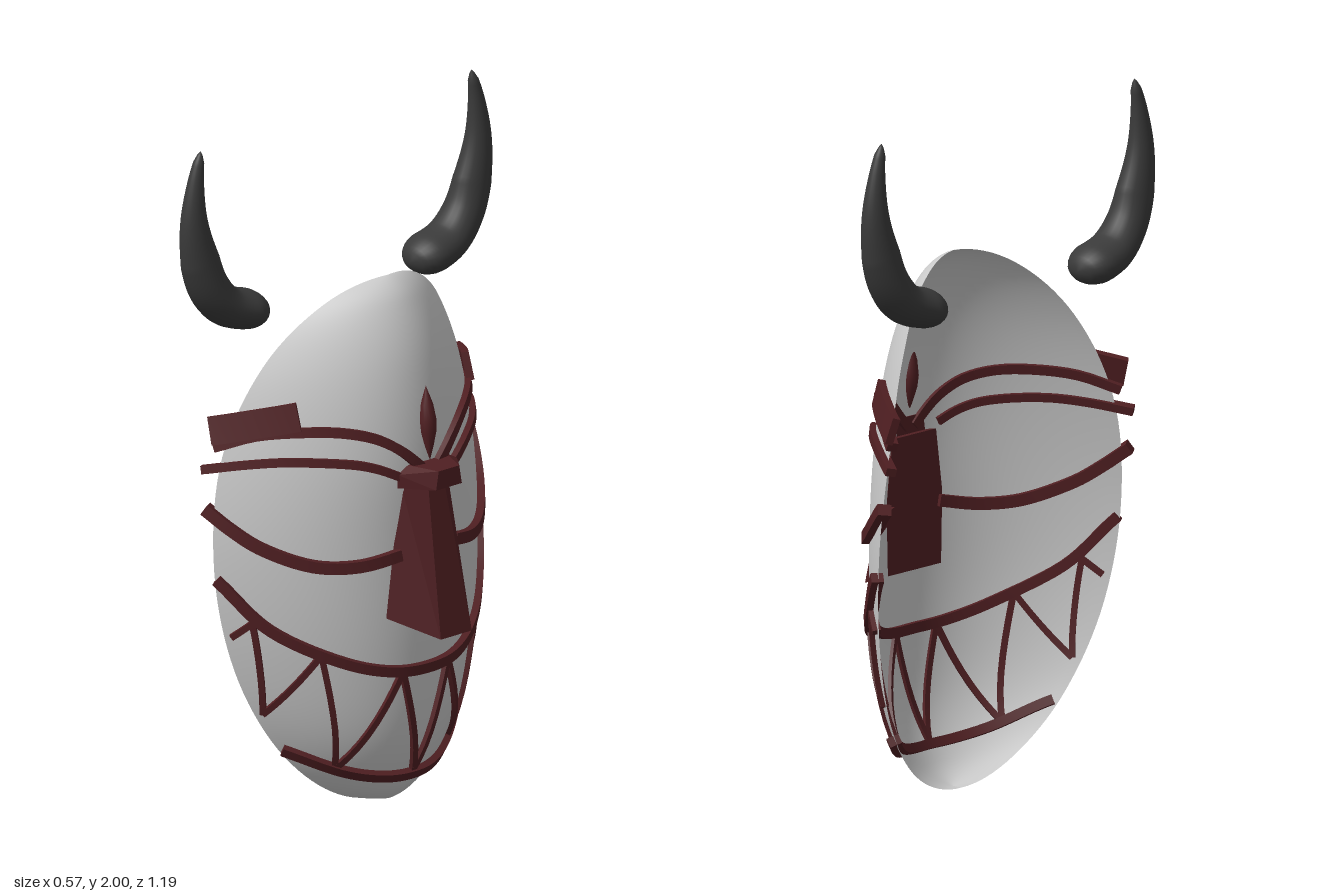
import * as THREE from 'three';
import { mergeVertices, toCreasedNormals } from 'three/addons/utils/BufferGeometryUtils.js';
import { ConvexGeometry } from 'three/addons/geometries/ConvexGeometry.js';

const V = (x, y, z) => new THREE.Vector3(x, y, z);
const grey = new THREE.MeshStandardMaterial({ color: 0xcccccc, side: THREE.DoubleSide });
const red = new THREE.MeshStandardMaterial({ color: 0x501f22 });
const dark = new THREE.MeshStandardMaterial({ color: 0x3a3a3a });

const HALF = 0.78, WIDTH = 0.505;
// Shell depth from chin to crown: (middle x, rim x) at even steps of angle
const profile = new THREE.SplineCurve([
  [0.0, -0.03], [0.07, -0.05], [0.138, -0.1], [0.163, -0.15], [0.168, -0.18],
  [0.168, -0.185], [0.135, -0.135], [0.07, -0.058], [0, 0],
].map(p => new THREE.Vector2(...p)));

const depth = (angle, t) => {
  const p = profile.getPoint(THREE.MathUtils.clamp(angle / Math.PI, 0, 1));
  return p.x + (p.y - p.x) * t * t;
};
// x of the shell at a height and sideways position
const shellX = (y, z) => {
  const a = Math.acos(THREE.MathUtils.clamp(1 - y / HALF, -1, 1));
  return depth(a, THREE.MathUtils.clamp(z / (WIDTH * Math.sin(a)), -1.08, 1.08));
};
const shellNormal = (y, z) => {
  const e = 0.01;
  return V(1, -(shellX(y + e, z) - shellX(y - e, z)) / (2 * e),
    -(shellX(y, z + e) - shellX(y, z - e)) / (2 * e)).normalize();
};

function makeShell() {
  const g = new THREE.PlaneGeometry(2, Math.PI, 48, 64);
  const p = g.attributes.position;
  for (let i = 0; i < p.count; i++) {
    const t = p.getX(i), a = p.getY(i) + Math.PI / 2;
    p.setXYZ(i, depth(a, t), HALF * (1 - Math.cos(a)), -t * WIDTH * Math.sin(a));
  }
  g.computeVertexNormals();
  return g;
}

// Rectangular strip lying on the shell along [z, y] points
function makeBand(points, width, outer, inner, steps) {
  const path = new THREE.CatmullRomCurve3(points.map(([z, y]) => V(0, y, z)));
  const centres = path.getPoints(steps).map(p => p.setX(shellX(p.y, p.z)));
  const pos = [], index = [];
  centres.forEach((c, i) => {
    const n = shellNormal(c.y, c.z);
    const tangent = centres[Math.min(i + 1, steps)].clone().sub(centres[Math.max(i - 1, 0)]).normalize();
    const b = tangent.cross(n).normalize();
    for (const [side, lift] of [[1, outer], [-1, outer], [-1, inner], [1, inner]])
      pos.push(...c.clone().addScaledVector(b, side * width / 2).addScaledVector(n, lift));
    if (i === steps) return;
    for (let k = 0; k < 4; k++) {
      const a = i * 4 + k, d = i * 4 + (k + 1) % 4;
      index.push(a, d, a + 4, d, d + 4, a + 4);
    }
  });
  const e = steps * 4;
  index.push(0, 2, 1, 0, 3, 2, e, e + 1, e + 2, e, e + 2, e + 3);
  // Turn the faces outwards if the enclosed volume comes out negative
  const at = i => V(pos[i * 3], pos[i * 3 + 1], pos[i * 3 + 2]);
  let volume = 0;
  for (let i = 0; i < index.length; i += 3)
    volume += at(index[i]).dot(at(index[i + 1]).cross(at(index[i + 2])));
  if (volume < 0) index.reverse();
  const g = new THREE.BufferGeometry();
  g.setAttribute('position', new THREE.Float32BufferAttribute(pos, 3));
  g.setIndex(index);
  return toCreasedNormals(g, 0.6);
}

// Curved horn: a tube narrowed to its tip, wider across x
function makeHorn(s) {
  const curve = new THREE.CatmullRomCurve3([
    [1.478, 0.287], [1.49, 0.35], [1.52, 0.435], [1.59, 0.498], [1.70, 0.537],
    [1.80, 0.553], [1.91, 0.546], [2.0, 0.527]].map(([y, z]) => V(-0.21, y, s * z)));
  const rows = 60, sides = 24;
  const g = new THREE.TubeGeometry(curve, rows, 1, sides);
  const p = g.attributes.position, v = V();
  for (let i = 0; i < p.count; i++) {
    const u = Math.floor(i / (sides + 1)) / rows;
    const c = curve.getPointAt(u);
    const round = Math.sqrt(1 - (1 - Math.min(u / 0.12, 1)) ** 2);
    const tip = Math.sqrt(Math.min(1, (1 - u) / 0.05));
    const across = (0.08 - 0.068 * Math.max(0, (u - 0.12) / 0.88)) * round * tip;
    const thick = (u < 0.5 ? 0.058 + 0.006 * u : 0.061 - 0.1 * (u - 0.5)) * round * tip;
    v.fromBufferAttribute(p, i).sub(c);
    p.setXYZ(i, c.x + v.x * across, c.y + v.y * thick, c.z + v.z * thick);
  }
  g.deleteAttribute('uv');
  g.deleteAttribute('normal');
  const merged = mergeVertices(g, 1e-5);
  merged.computeVertexNormals();
  return merged;
}

// Convex solid from [x, y, z] corners mirrored in z
const mirrored = corners => new ConvexGeometry(corners.flatMap(([x, y, z]) => [V(x, y, z), V(x, y, -z)]));

export function createModel() {
  const model = new THREE.Group();
  const add = (name, geometry, material) => {
    const mesh = new THREE.Mesh(geometry, material);
    mesh.name = name;
    model.add(mesh);
    return mesh;
  };
  const band = (name, points, width, outer = 0.018, inner = -0.012, steps = 28) =>
    add(name, makeBand(points, width, outer, inner, steps), red);

  add('maskShell', makeShell(), grey);

  // Brows, eye bands, teeth and horns on each side
  for (const [s, side] of [[1, 'Front'], [-1, 'Back']]) {
    const flip = points => points.map(([z, y]) => [s * z, y]);
    band('upperBrowBand' + side, flip([[0.475, 1.105], [0.4, 1.145], [0.32, 1.16], [0.24, 1.16],
      [0.165, 1.14], [0.1, 1.1], [0.05, 1.055], [0.015, 1.02]]), 0.028);
    band('lowerBrowBand' + side, flip([[0.503, 1.04], [0.43, 1.062], [0.35, 1.075], [0.22, 1.068],
      [0.16, 1.05], [0.1, 1.02]]), 0.024);
    band('browPlank' + side, flip([[0.475, 1.15], [0.4, 1.178], [0.318, 1.205]]), 0.082, 0.026, 0.004, 8);
    band('underEyeBand' + side, flip([[0.51, 0.93], [0.47, 0.875], [0.42, 0.825], [0.32, 0.775],
      [0.22, 0.768], [0.1, 0.79]]), 0.034, 0.022, -0.018);

    // Zigzag teeth between the two lip bands
    const zigzag = [[0.47, 0.555], [0.435, 0.6], [0.39, 0.32], [0.295, 0.505],
      [0.215, 0.145], [0.085, 0.435], [0, 0.115]];
    for (let i = 0; i < zigzag.length - 1; i++)
      band('toothLine' + side + (i + 1), flip([zigzag[i], zigzag[i + 1]]), 0.018, 0.014, -0.01, 10);

    add('horn' + side, makeHorn(s), dark);
  }

  // Lip bands running right across the face
  const across = half => [...half, ...half.slice(0, -1).reverse().map(([z, y]) => [-z, y])];
  band('upperLipBand', across([[0.5, 0.725], [0.4, 0.58], [0.24, 0.48], [0.12, 0.443], [0, 0.435]]),
    0.03, 0.02, -0.016, 56);
  band('lowerLipBand', across([[0.33, 0.205], [0.19, 0.135], [0.09, 0.11], [0, 0.105]]),
    0.028, 0.02, -0.016, 40);

  // Flared nose with its cap
  add('nose', mirrored([[0.15, 1.0, 0.09], [0.2, 1.0, 0.03],
    [0.15, 0.605, 0.145], [0.285, 0.555, 0.06]]), red);
  add('noseCap', mirrored([[0.165, 0.99, 0.115], [0.165, 1.03, 0.115], [0.165, 1.05, 0.075],
    [0.255, 0.99, 0.05], [0.255, 1.045, 0.04]]), red);

  // Pointed forehead leaf
  const leaf = new THREE.LatheGeometry([[0, -0.11], [0.012, -0.07], [0.023, -0.025], [0.025, 0.01],
    [0.018, 0.055], [0, 0.11]].map(p => new THREE.Vector2(...p)), 16);
  const forehead = add('foreheadLeaf', leaf, red);
  forehead.position.set(0.168, 1.16, 0);
  forehead.rotation.z = 0.08;

  return model;
}
